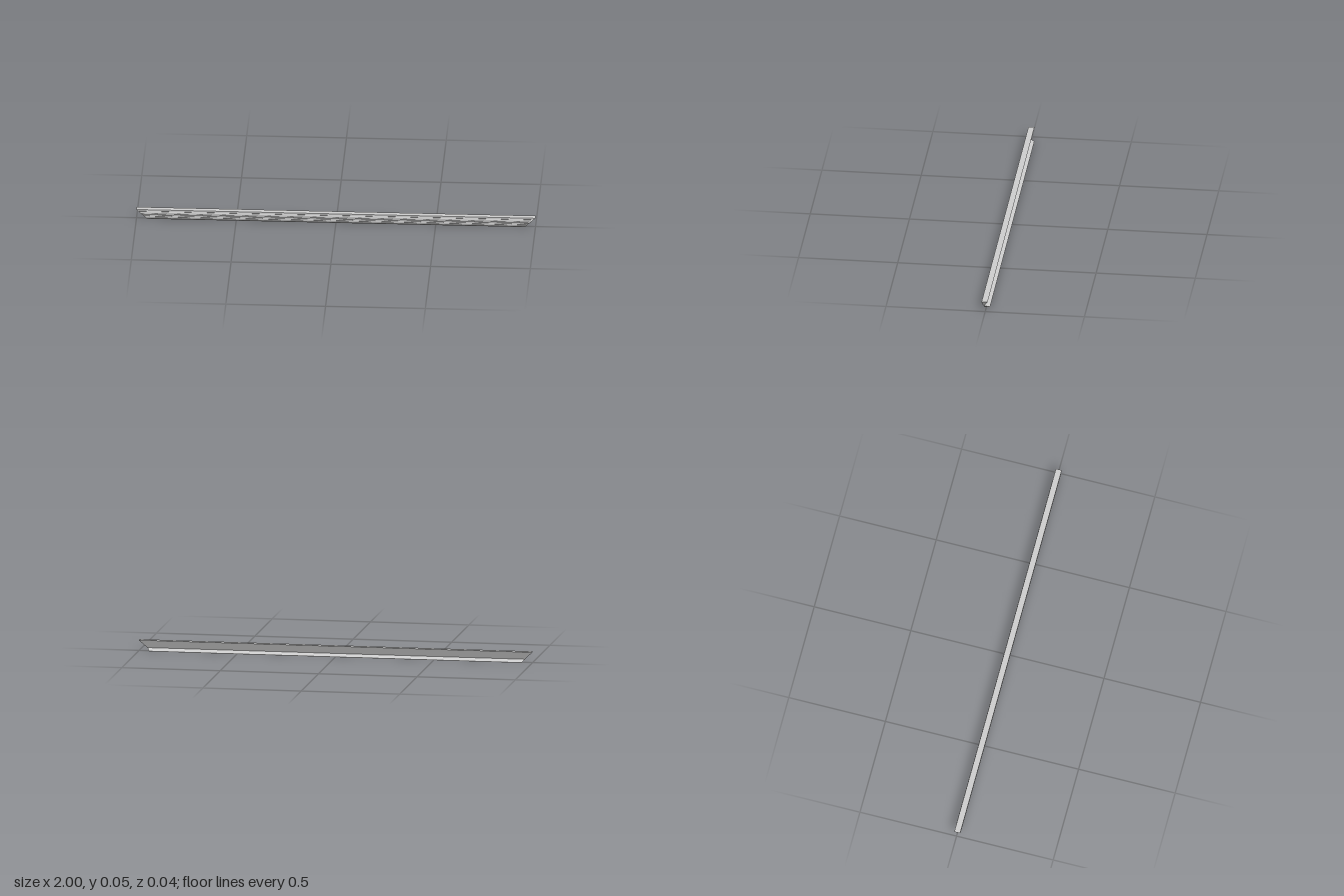
import * as THREE from 'three';

// Extrude a (z, y) section along x, with both ends mitred at 45 degrees
function mitredStrip(name, shape, material) {
  const geometry = new THREE.ExtrudeGeometry(shape, { depth: 1, bevelEnabled: false, curveSegments: 5 });
  geometry.rotateY(-Math.PI / 2).translate(0.5, 0, 0);
  const p = geometry.attributes.position;
  for (let i = 0; i < p.count; i++) {
    p.setX(i, Math.sign(p.getX(i)) * (0.946 + p.getY(i)));
  }
  geometry.computeVertexNormals();
  const mesh = new THREE.Mesh(geometry, material);
  mesh.name = name;
  return mesh;
}

export function createModel() {
  const group = new THREE.Group();
  group.name = 'corniceMoulding';
  const material = new THREE.MeshStandardMaterial({ color: 0xcccccc, side: THREE.DoubleSide });

  // Upper body: flat top, sloping back, stepped and beaded front
  const crown = new THREE.Shape();
  crown.moveTo(-0.012, 0.054);
  crown.lineTo(0.0105, 0.0135);
  crown.lineTo(0.0125, 0.0135);
  crown.quadraticCurveTo(0.0150, 0.0155, 0.0130, 0.0185);
  crown.lineTo(0.0140, 0.0190);
  crown.quadraticCurveTo(0.0140, 0.0230, 0.0160, 0.0265);
  crown.lineTo(0.0150, 0.0280);
  crown.quadraticCurveTo(0.0190, 0.0300, 0.0165, 0.0335);
  crown.lineTo(0.0180, 0.0340);
  crown.quadraticCurveTo(0.0200, 0.0390, 0.0170, 0.0440);
  crown.lineTo(0.0183, 0.0455);
  crown.lineTo(0.0183, 0.0540);
  crown.closePath();
  group.add(mitredStrip('crown', crown, material));

  // Lower foot: wedge tapering to the back on a flat base
  const foot = new THREE.Shape();
  foot.moveTo(-0.0180, 0.0010);
  foot.lineTo(-0.0180, 0);
  foot.lineTo(0.0090, 0);
  foot.lineTo(0.0110, 0.0040);
  foot.quadraticCurveTo(0.0140, 0.0060, 0.0115, 0.0090);
  foot.lineTo(0.0125, 0.0136);
  foot.lineTo(0.0105, 0.0136);
  foot.lineTo(0.0085, 0.0120);
  foot.closePath();
  group.add(mitredStrip('foot', foot, material));

  return group;
}
